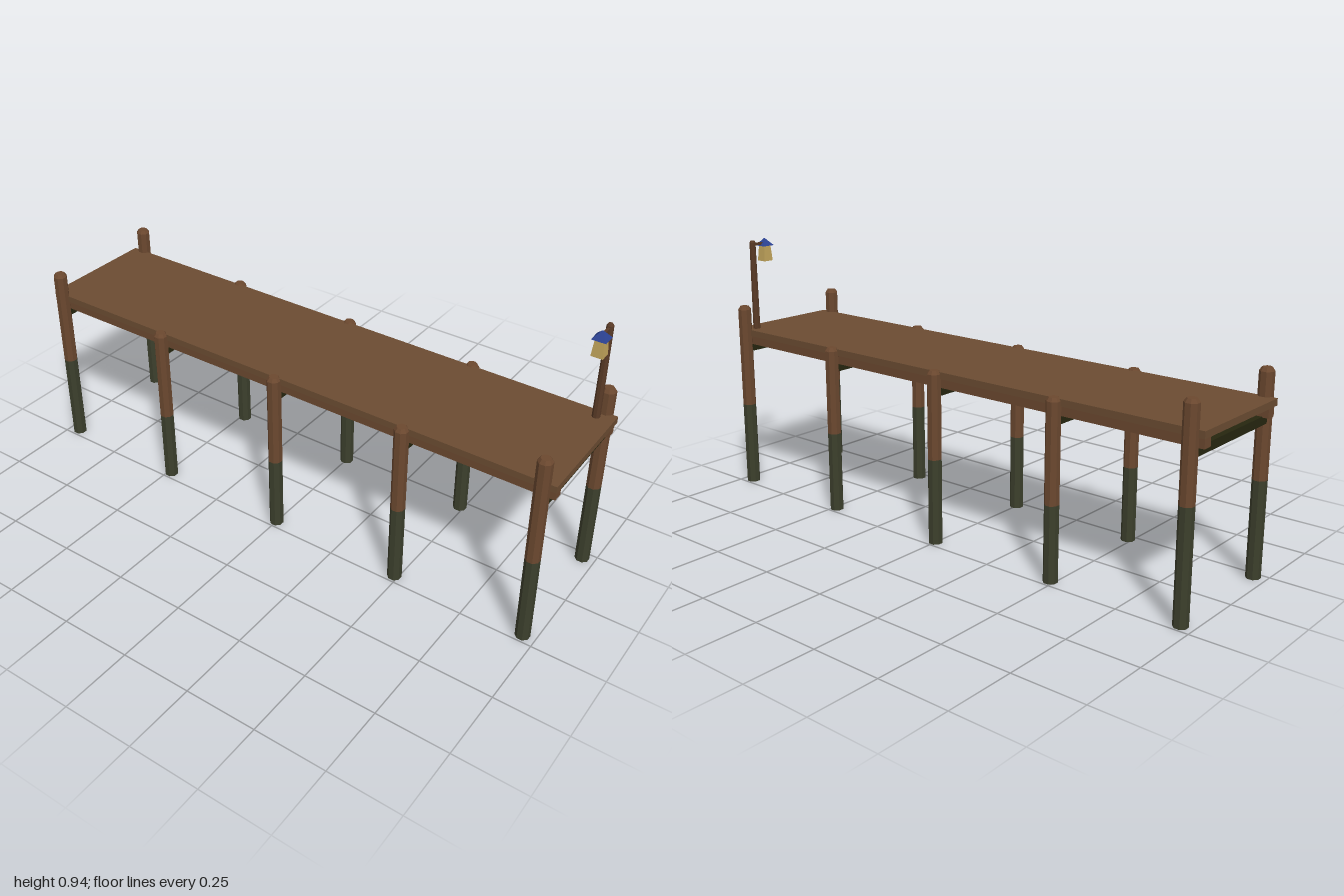
import * as THREE from 'three';

const mat = (name, color) => {
  const m = new THREE.MeshStandardMaterial({ color, flatShading: true });
  m.name = name;
  return m;
};

export function createModel() {
  const pier = new THREE.Group();
  pier.name = 'pier';

  const deckWood = mat('deckWood', 0x6b4c32);
  const postWood = mat('postWood', 0x6b482f);
  const algae = mat('algaeGreen', 0x3c3f2c);
  const wetWood = mat('wetWood', 0x26260f);
  const poleWood = mat('poleWood', 0x593a26);
  const glass = mat('lampGlass', 0xbfa25a);
  const blue = mat('roofBlue', 0x2b4190);

  const add = (name, geo, material, x, y, z, parent = pier) => {
    const mesh = new THREE.Mesh(geo, material);
    mesh.name = name;
    mesh.position.set(x, y, z);
    parent.add(mesh);
    return mesh;
  };
  const box = (name, w, h, d, material, x, y, z, parent) =>
    add(name, new THREE.BoxGeometry(w, h, d), material, x, y, z, parent);
  // Upright cylinder given by its bottom and top heights
  const column = (name, rBottom, rTop, y0, y1, sides, material, x, z, parent, turn = Math.PI / sides) =>
    add(name, new THREE.CylinderGeometry(rTop, rBottom, y1 - y0, sides).rotateY(turn),
      material, x, (y0 + y1) / 2, z, parent);

  // Walkway and the long beams under its edges
  box('deck', 0.43, 0.023, 2, deckWood, 0, 0.5885, 0);
  for (const side of [-1, 1]) {
    box('edgeBeam', 0.034, 0.034, 1.99, postWood, side * 0.189, 0.561, 0);
  }

  // Pairs of posts with algae up to an uneven waterline, joined by cross beams
  const rows = [
    { z: 0.957, top: 0.69, left: 0.31, right: 0.315 },
    { z: 0.486, top: 0.605, left: 0.29, right: 0.29 },
    { z: 0, top: 0.605, left: 0.3, right: 0.27 },
    { z: -0.486, top: 0.605, left: 0.26, right: 0.265 },
    { z: -0.957, top: 0.69, left: 0.375, right: 0.33 },
  ];
  for (const { z, top, left, right } of rows) {
    for (const [side, water] of [[1, left], [-1, right]]) {
      const post = new THREE.Group();
      post.name = 'post';
      pier.add(post);
      const x = side * 0.2205, r = 0.0245;
      column('postBase', r, r, 0, water, 8, algae, x, z, post);
      column('postShaft', r, r, water, top - 0.012, 8, postWood, x, z, post);
      column('postCap', r, 0.016, top - 0.012, top, 8, postWood, x, z, post);
    }
    box('crossBeam', 0.41, 0.029, 0.035, wetWood, 0, 0.532, z);
  }

  // Lamp on a pole at the front left corner
  const lamp = new THREE.Group();
  lamp.name = 'lamp';
  pier.add(lamp);
  const z = 0.943, x = 0.121;
  column('lampPole', 0.0135, 0.0115, 0.6, 0.925, 8, poleWood, 0.178, z, lamp);
  column('poleCap', 0.0115, 0.008, 0.925, 0.931, 8, poleWood, 0.178, z, lamp);
  box('lampArm', 0.06, 0.009, 0.009, poleWood, 0.15, 0.917, z, lamp);
  column('lantern', 0.0275, 0.021, 0.851, 0.908, 4, glass, x, z, lamp);
  column('lanternRoof', 0.034, 0.001, 0.908, 0.935, 4, blue, x, z, lamp);

  return pier;
}
